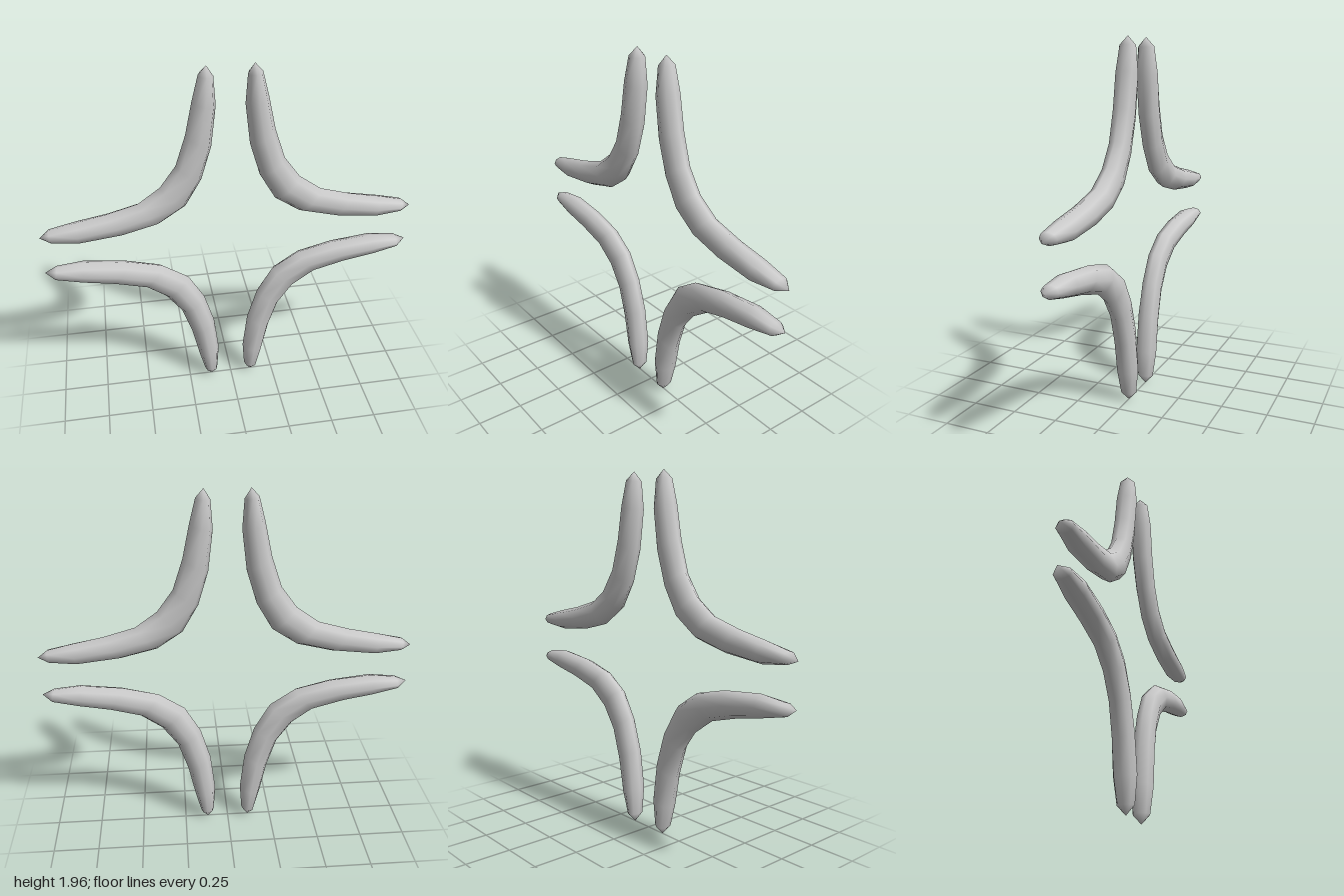
import * as THREE from 'three';

const SIDES = 8;
const MID = 0.98; // height of the centre of the whole figure

// Each station: outer-curve point (x, y), inner-curve point (x, y), half depth in z
const STATIONS = [
  [0.157, 1.915, 0.083, 1.907, 0.046],
  [0.190, 1.785, 0.073, 1.757, 0.062],
  [0.227, 1.610, 0.098, 1.541, 0.060],
  [0.281, 1.446, 0.152, 1.360, 0.057],
  [0.366, 1.329, 0.238, 1.211, 0.056],
  [0.484, 1.244, 0.376, 1.119, 0.057],
  [0.653, 1.196, 0.566, 1.072, 0.060],
  [0.812, 1.163, 0.795, 1.049, 0.062],
  [0.950, 1.130, 0.938, 1.065, 0.046],
];
const TIPS = [[0.117, 1.96], [1.0, 1.09]];

// Bent bar lofted through elliptical rings and closed by a point at each end
function bentBarGeometry() {
  const pos = [];
  const index = [];
  for (const [ax, ay, bx, by, depth] of STATIONS) {
    for (let j = 0; j < SIDES; j++) {
      const a = (j / SIDES) * Math.PI * 2;
      const c = Math.cos(a) / 2;
      pos.push(
        (ax + bx) / 2 + (ax - bx) * c,
        (ay + by) / 2 - MID + (ay - by) * c,
        depth * Math.sin(a)
      );
    }
  }
  const last = (STATIONS.length - 1) * SIDES;
  const start = STATIONS.length * SIDES;
  for (const [x, y] of TIPS) pos.push(x, y - MID, 0);

  for (let j = 0; j < SIDES; j++) {
    const k = (j + 1) % SIDES;
    for (let r = 0; r < last; r += SIDES) {
      index.push(r + j, r + k, r + SIDES + k);
      index.push(r + j, r + SIDES + k, r + SIDES + j);
    }
    index.push(start, k, j); // upper point
    index.push(last + j, last + k, start + 1); // side point
  }

  const geometry = new THREE.BufferGeometry();
  geometry.setAttribute('position', new THREE.Float32BufferAttribute(pos, 3));
  geometry.setIndex(index);
  geometry.computeVertexNormals();
  return geometry;
}

export function createModel() {
  const group = new THREE.Group();
  group.name = 'fourBentBars';
  const geometry = bentBarGeometry();
  const material = new THREE.MeshStandardMaterial({ color: 0xcccccc });

  // The bar is symmetric in z, so half turns give its mirrored copies
  const placements = [
    ['upperLeftBar', 0, 0, 0],
    ['upperRightBar', 0, Math.PI, 0],
    ['lowerLeftBar', Math.PI, 0, 0],
    ['lowerRightBar', 0, 0, Math.PI],
  ];
  for (const [name, rx, ry, rz] of placements) {
    const bar = new THREE.Mesh(geometry, material);
    bar.name = name;
    bar.position.y = MID;
    bar.rotation.set(rx, ry, rz);
    group.add(bar);
  }
  return group;
}
